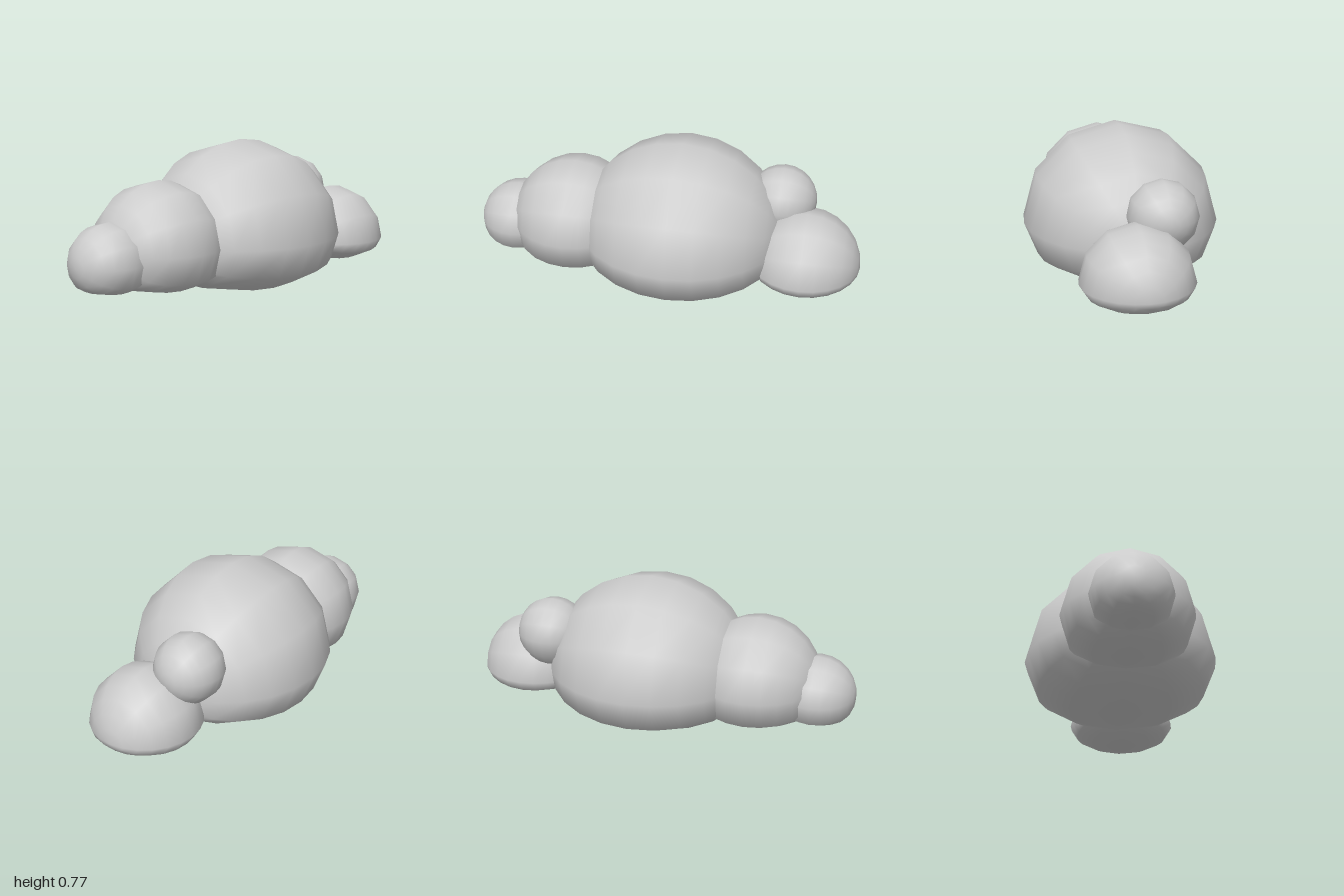
import * as THREE from 'three';
import { mergeVertices } from 'three/addons/utils/BufferGeometryUtils.js';

const material = new THREE.MeshStandardMaterial({ color: 0xcccccc });

// A low-poly puff with its poles along z; everything below `kink` is squashed by `squash`
function puff(name, [x, y, z], [rx, ry, rz], kink, squash) {
  let geo = new THREE.SphereGeometry(1, 12, 12);
  geo.rotateX(Math.PI / 2);
  geo.scale(rx, ry, rz);
  geo.translate(x, y, z);
  geo.deleteAttribute('uv');
  geo.deleteAttribute('normal');
  geo = mergeVertices(geo, 1e-4);
  const pos = geo.attributes.position;
  for (let i = 0; i < pos.count; i++) {
    const py = pos.getY(i);
    if (py < kink) pos.setY(i, kink + (py - kink) * squash);
  }
  geo.computeVertexNormals();
  const mesh = new THREE.Mesh(geo, material);
  mesh.name = name;
  return mesh;
}

export function createModel() {
  const cloud = new THREE.Group();
  cloud.name = 'cloud';
  cloud.add(
    puff('mainPuff', [0, 0.285, -0.07], [0.493, 0.492, 0.53], 0.195, 0.48),
    puff('middlePuff', [0, 0.29, 0.49], [0.328, 0.328, 0.33], 0.163, 0.46),
    puff('frontPuff', [-0.003, 0.25, 0.8], [0.2, 0.197, 0.2], 0.148, 0.49),
    puff('backPuff', [0.045, 0.195, -0.72], [0.28, 0.28, 0.28], 0.195, 0.42),
    puff('smallBackPuff', [-0.108, 0.46, -0.572], [0.176, 0.176, 0.176], 0, 1),
  );
  return cloud;
}
